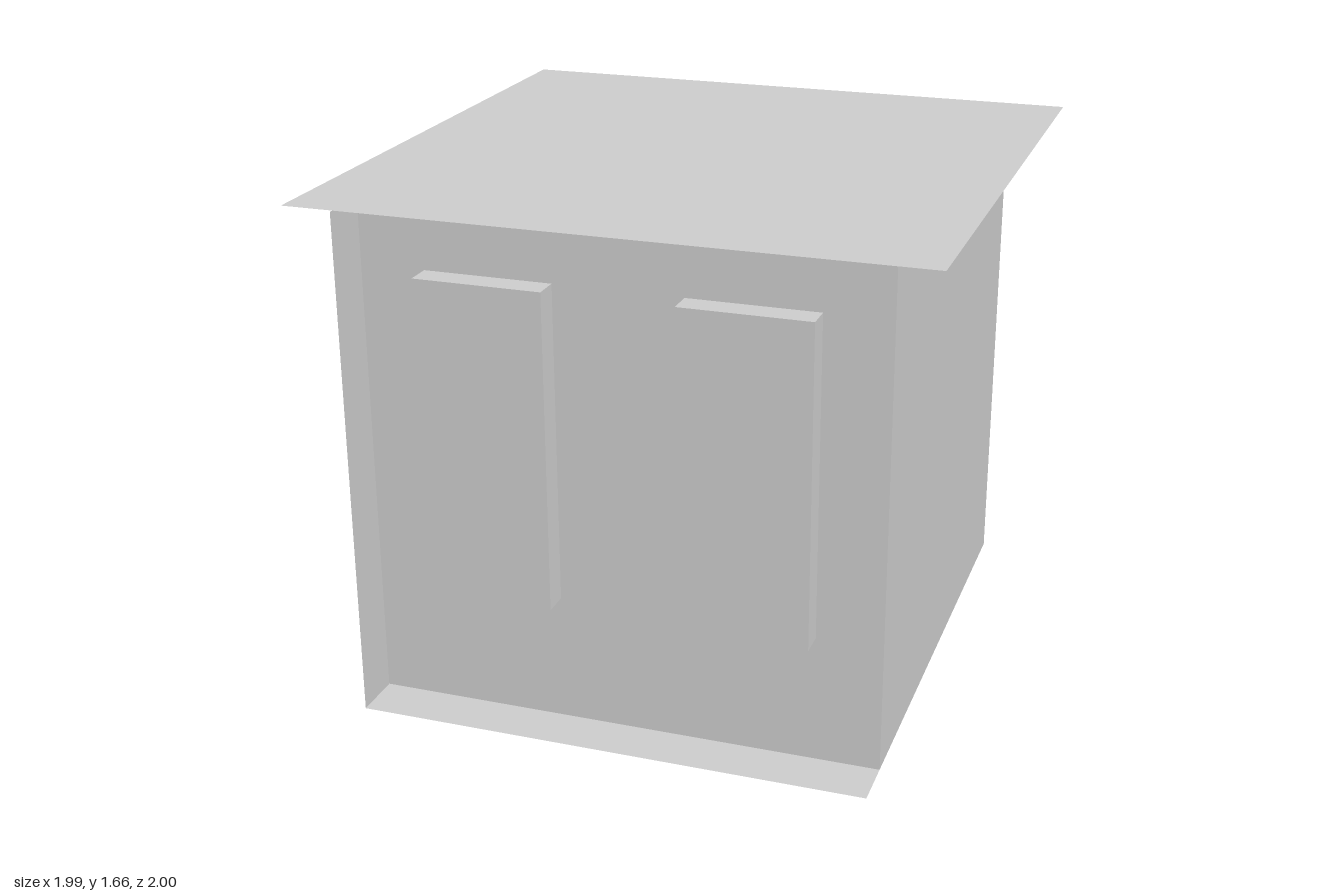
import * as THREE from 'three';

const HALF = 0.83;    // half width of the body
const HEIGHT = 1.66;
const BACK = -0.83;
const FACE = 0.834;   // front wall of the body
const FRONT = 1.0;    // front edge of the floor and the right wall

export function createModel() {
  const group = new THREE.Group();
  const grey = new THREE.MeshStandardMaterial({ color: 0xcccccc, flatShading: true, side: THREE.DoubleSide });

  const add = (name, geometry, x, y, z) => {
    const mesh = new THREE.Mesh(geometry, grey);
    mesh.name = name;
    mesh.position.set(x, y, z);
    group.add(mesh);
  };

  // Main block
  add('body', new THREE.BoxGeometry(2 * HALF, HEIGHT, FACE - BACK), 0, HEIGHT / 2, (FACE + BACK) / 2);

  // Thin overhanging roof sheet
  add('roof', new THREE.PlaneGeometry(1.992, 1.992).rotateX(-Math.PI / 2), 0, HEIGHT + 0.002, -0.004);

  // Floor and right wall run on past the front wall; the left side stays open
  const depth = FRONT - FACE;
  const midZ = (FRONT + FACE) / 2;
  add('floorLip', new THREE.PlaneGeometry(2 * HALF, depth).rotateX(-Math.PI / 2), 0, 0, midZ);
  add('rightWallExtension', new THREE.PlaneGeometry(depth, HEIGHT).rotateY(Math.PI / 2), -HALF, HEIGHT / 2, midZ);

  // Raised front panels
  for (const [side, s] of [['left', 1], ['right', -1]]) {
    add(`${side}FrontPanel`, new THREE.BoxGeometry(0.413, 1.035, 0.085), s * 0.413, 0.935, FACE + 0.0425);
  }

  return group;
}
